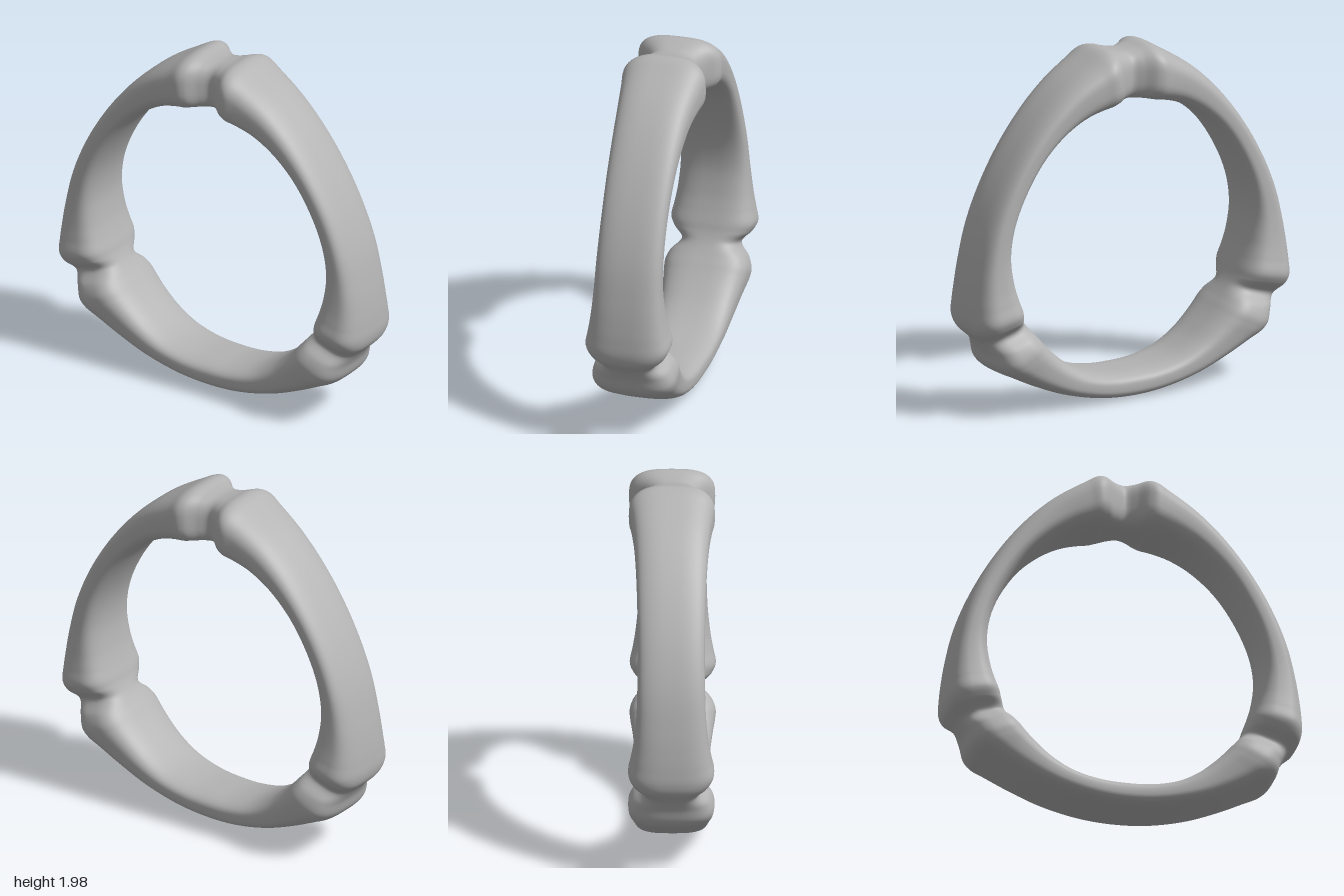
import * as THREE from 'three';

// Half of the band, from the top groove round to the bottom:
// outer x, outer y, inner x, inner y, half width
const STATIONS = [
  [0, 1.965, 0, 1.69, 0.14],
  [0.06, 1.972, 0.05, 1.688, 0.168],
  [0.125, 1.986, 0.1, 1.682, 0.22],
  [0.165, 1.978, 0.14, 1.672, 0.235],
  [0.24, 1.935, 0.2, 1.66, 0.225],
  [0.4, 1.83, 0.3, 1.63, 0.207],
  [0.55, 1.69, 0.42, 1.565, 0.195],
  [0.7, 1.5, 0.55, 1.45, 0.187],
  [0.83, 1.28, 0.67, 1.27, 0.183],
  [0.92, 1.06, 0.745, 1.09, 0.185],
  [0.97, 0.85, 0.768, 0.93, 0.192],
  [0.99, 0.72, 0.75, 0.78, 0.207],
  [0.998, 0.64, 0.725, 0.69, 0.222],
  [1.0, 0.56, 0.7, 0.62, 0.235],
  [0.985, 0.505, 0.685, 0.575, 0.212],
  [0.925, 0.44, 0.66, 0.525, 0.158],
  [0.885, 0.375, 0.62, 0.47, 0.212],
  [0.86, 0.3, 0.585, 0.43, 0.235],
  [0.825, 0.26, 0.55, 0.39, 0.232],
  [0.75, 0.22, 0.49, 0.33, 0.22],
  [0.6, 0.145, 0.4, 0.255, 0.205],
  [0.42, 0.072, 0.28, 0.19, 0.195],
  [0.2, 0.018, 0.14, 0.158, 0.188],
  [0, 0.002, 0, 0.152, 0.185],
];

const STEPS = 368; // cross-sections round the loop
const SIDES = 56; // points in each cross-section
const OFFSET_Z = -0.003;

// Signed power that turns a circle into a rounded rectangle
const squarish = (v) => Math.sign(v) * Math.abs(v) ** (2 / 3);

function bandGeometry() {
  // Mirror the half to close the loop
  const mirrored = STATIONS.slice(1, -1).reverse()
    .map(([ox, oy, ix, iy, w]) => [-ox, oy, -ix, iy, w]);
  const loop = [...STATIONS, ...mirrored];
  const outer = new THREE.CatmullRomCurve3(
    loop.map((s) => new THREE.Vector3(s[0], s[1], s[4])), true);
  const inner = new THREE.CatmullRomCurve3(
    loop.map((s) => new THREE.Vector3(s[2], s[3], 0)), true);

  const positions = [];
  const indices = [];
  for (let i = 0; i < STEPS; i++) {
    const o = outer.getPoint(i / STEPS);
    const n = inner.getPoint(i / STEPS);
    for (let j = 0; j < SIDES; j++) {
      const a = (j / SIDES) * Math.PI * 2;
      const k = 0.5 + 0.5 * squarish(Math.cos(a)); // 1 outside, 0 inside
      positions.push(
        n.x + (o.x - n.x) * k,
        n.y + (o.y - n.y) * k,
        o.z * squarish(Math.sin(a)) + OFFSET_Z,
      );
      const i2 = (i + 1) % STEPS;
      const j2 = (j + 1) % SIDES;
      const p = i * SIDES + j;
      const q = i * SIDES + j2;
      const r = i2 * SIDES + j;
      const s = i2 * SIDES + j2;
      indices.push(p, q, r, q, s, r);
    }
  }
  const geometry = new THREE.BufferGeometry();
  geometry.setAttribute('position', new THREE.Float32BufferAttribute(positions, 3));
  geometry.setIndex(indices);
  geometry.computeVertexNormals();
  return geometry;
}

export function createModel() {
  const group = new THREE.Group();
  group.name = 'ring';
  const metal = new THREE.MeshStandardMaterial({ color: 0xb3b3b3 });
  metal.name = 'grey metal';

  // One continuous band with three grooved knuckles
  const band = new THREE.Mesh(bandGeometry(), metal);
  band.name = 'knuckledBand';
  group.add(band);
  return group;
}
